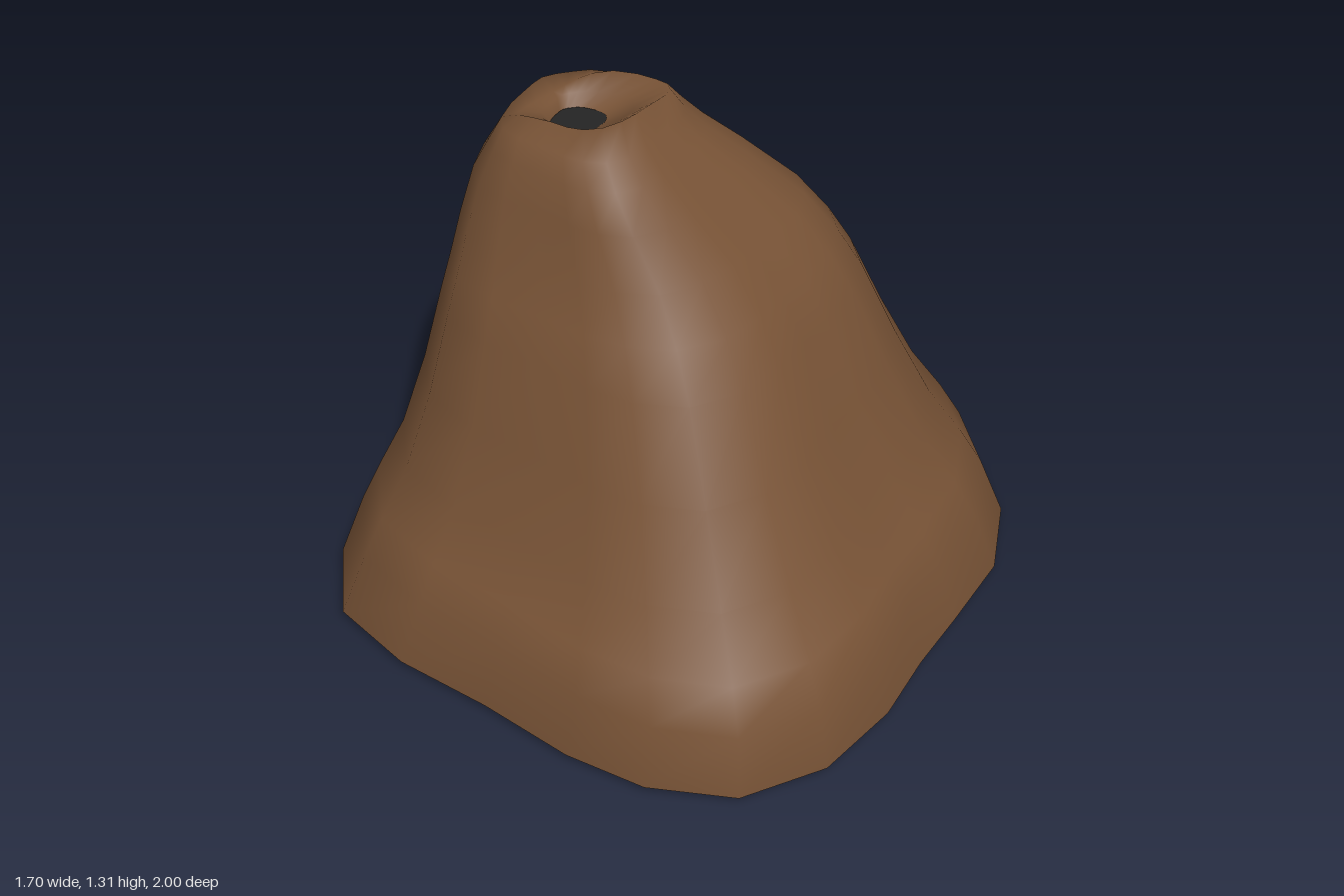
import * as THREE from 'three';

// ground outline of the mound, [x, z], clockwise seen from above, from the back
const OUTLINE = [
  [0.085, -0.73], [0.31, -0.64], [0.56, -0.465], [0.75, -0.26], [0.85, -0.07], [0.85, 0.14],
  [0.77, 0.35], [0.62, 0.52], [0.5, 0.65], [0.38, 0.8], [0.2, 0.945], [-0.016, 1],
  [-0.22, 0.93], [-0.38, 0.8], [-0.545, 0.61], [-0.725, 0.43], [-0.85, 0.23], [-0.835, 0],
  [-0.72, -0.235], [-0.6, -0.4], [-0.48, -0.56], [-0.38, -0.665], [-0.24, -0.71], [-0.08, -0.725],
];

// cross-sections: height, extents -x, +x, -z, +z, bulge of the shoulder towards -x -z
const LEVELS = [
  [0.02, -0.85, 0.85, -0.73, 1, 0],
  [0.195, -0.785, 0.78, -0.7, 0.985, 0],
  [0.275, -0.735, 0.73, -0.69, 0.91, 0],
  [0.4, -0.665, 0.645, -0.61, 0.8, 0.01],
  [0.6, -0.595, 0.545, -0.495, 0.68, 0.03],
  [0.8, -0.54, 0.455, -0.39, 0.56, 0.045],
  [0.9, -0.51, 0.395, -0.335, 0.485, 0.05],
  [1.0, -0.48, 0.315, -0.29, 0.405, 0.055],
  [1.12, -0.445, 0.18, -0.25, 0.345, 0.045],
  [1.2, -0.41, 0.085, -0.205, 0.29, 0.015],
  [1.25, -0.385, 0.035, -0.17, 0.24, 0],
  [1.288, -0.345, 0, -0.11, 0.17, 0], // crater rim
  [1.24, -0.29, -0.08, -0.09, 0.09, 0],
  [1.212, -0.27, -0.14, -0.07, 0.05, 0], // edge of the hole
];
const RIM = 11;

function ring([y, x0, x1, z0, z1, bulge]) {
  return OUTLINE.map(([px, pz]) => {
    const u = THREE.MathUtils.mapLinear(px, -0.85, 0.85, -1, 1);
    const v = THREE.MathUtils.mapLinear(pz, -0.73, 1, -1, 1);
    const push = bulge * Math.max(0, -(u + v) * Math.SQRT1_2) ** 5 * Math.SQRT1_2;
    return [
      THREE.MathUtils.mapLinear(u, -1, 1, x0, x1) - push,
      y,
      THREE.MathUtils.mapLinear(v, -1, 1, z0, z1) - push,
    ];
  });
}

function moundGeometry() {
  const n = OUTLINE.length;
  const rings = LEVELS.map(ring);
  // the foot sags a little at the back
  rings[0].forEach((p) => {
    if (p[2] < -0.7) p[1] -= 0.025 * Math.max(0, 1 - Math.abs(p[0] + 0.12) / 0.2);
  });
  // the rim rises at +x +z and dips at -x -z
  rings[RIM].forEach((p) => {
    const t = ((p[0] + 0.172) / 0.172 + (p[2] - 0.03) / 0.14) * Math.SQRT1_2;
    p[1] += (t > 0 ? 0.03 : 0.05) * t ** 3;
  });

  const index = [];
  for (let i = 0; i < rings.length - 1; i++) {
    for (let j = 0; j < n; j++) {
      const k = (j + 1) % n;
      const a = i * n + j, b = i * n + k, c = b + n, d = a + n;
      index.push(a, d, b, b, d, c);
    }
  }
  const geo = new THREE.BufferGeometry();
  geo.setAttribute('position', new THREE.Float32BufferAttribute(rings.flat(2), 3));
  geo.setIndex(index);
  geo.computeVertexNormals();
  return geo;
}

// small flat-bottomed clod with a chamfered top
function clod(name, material, sides, x, z, rx, rz, h, turn) {
  const profile = [[0, 0], [0.95, 0], [1, 0.3], [0.97, 0.8], [0.7, 0.98], [0, 1]]
    .map(([r, y]) => new THREE.Vector2(r, y));
  const mesh = new THREE.Mesh(new THREE.LatheGeometry(profile, sides).scale(rx, h, rz), material);
  mesh.name = name;
  mesh.rotation.y = turn;
  mesh.position.set(x, 0.02, z);
  return mesh;
}

export function createModel() {
  const model = new THREE.Group();
  model.name = 'earthMound';
  const earth = new THREE.MeshStandardMaterial({ color: 0x785336, side: THREE.DoubleSide });
  const dark = new THREE.MeshStandardMaterial({ color: 0x242424 });

  const mound = new THREE.Mesh(moundGeometry(), earth);
  mound.name = 'mound';
  model.add(mound);

  // dark floor of the entrance hole
  const hole = new THREE.Mesh(new THREE.CircleGeometry(0.075, 12).rotateX(-Math.PI / 2), dark);
  hole.name = 'entranceHole';
  hole.position.set(-0.205, 1.21, -0.01);
  model.add(hole);

  // loose clods behind the mound
  model.add(clod('largeClod', earth, 4, -0.157, -0.898, 0.057, 0.07, 0.095, 0.3));
  model.add(clod('smallClod', earth, 6, 0.062, -0.962, 0.034, 0.038, 0.075, 0));
  return model;
}
